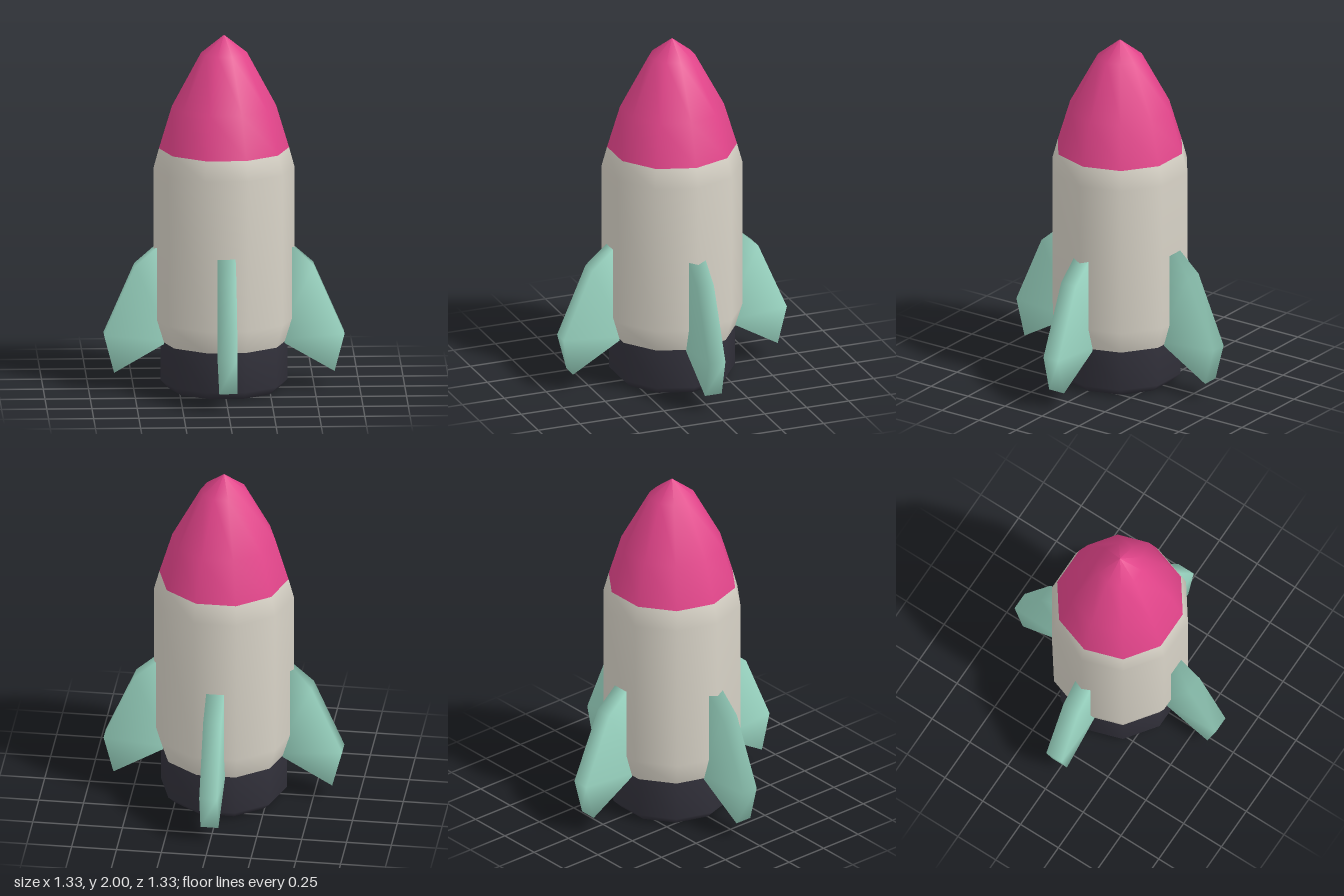
import * as THREE from 'three';
import { mergeVertices } from 'three/addons/utils/BufferGeometryUtils.js';

const SIDES = 10;

// Ten-sided smooth shell turned from a [radius, height] profile, bottom to top
function turned(name, color, profile) {
  const points = profile.map(([r, y]) => new THREE.Vector2(r, y));
  const geometry = new THREE.LatheGeometry(points, SIDES, Math.PI / 2);
  const mesh = new THREE.Mesh(
    geometry,
    new THREE.MeshStandardMaterial({ color, side: THREE.DoubleSide })
  );
  mesh.name = name;
  return mesh;
}

// Swept fin slab with softened normals; its root is buried in the body
function finGeometry() {
  const outline = [[0.3, 0.28], [0.61, 0.1], [0.665, 0.31], [0.495, 0.7], [0.3, 0.87]];
  const shape = new THREE.Shape(outline.map(([x, y]) => new THREE.Vector2(x, y)));
  let geometry = new THREE.ExtrudeGeometry(shape, { depth: 0.1, bevelEnabled: false });
  geometry.translate(0, 0, -0.05);
  geometry.deleteAttribute('normal');
  geometry.deleteAttribute('uv');
  geometry = mergeVertices(geometry);
  geometry.computeVertexNormals();
  return geometry;
}

export function createModel() {
  const rocket = new THREE.Group();
  rocket.name = 'rocket';

  // Engine base, hull and nose
  rocket.add(
    turned('engineBase', 0x33323c, [[0, 0], [0.305, 0], [0.35, 0.045], [0.35, 0.27]]),
    turned('body', 0xd9d4c8, [[0.35, 0.27], [0.39, 0.4], [0.39, 1.25], [0.36, 1.36]]),
    turned('noseCone', 0xe2448a, [[0.36, 1.36], [0.288, 1.6], [0.127, 1.9], [0, 2]])
  );

  // Four fins around the hull
  const geometry = finGeometry();
  const material = new THREE.MeshStandardMaterial({ color: 0x9fdcc8 });
  ['leftFin', 'backFin', 'rightFin', 'frontFin'].forEach((name, i) => {
    const fin = new THREE.Mesh(geometry, material);
    fin.name = name;
    fin.rotation.y = (i * Math.PI) / 2;
    rocket.add(fin);
  });

  return rocket;
}
